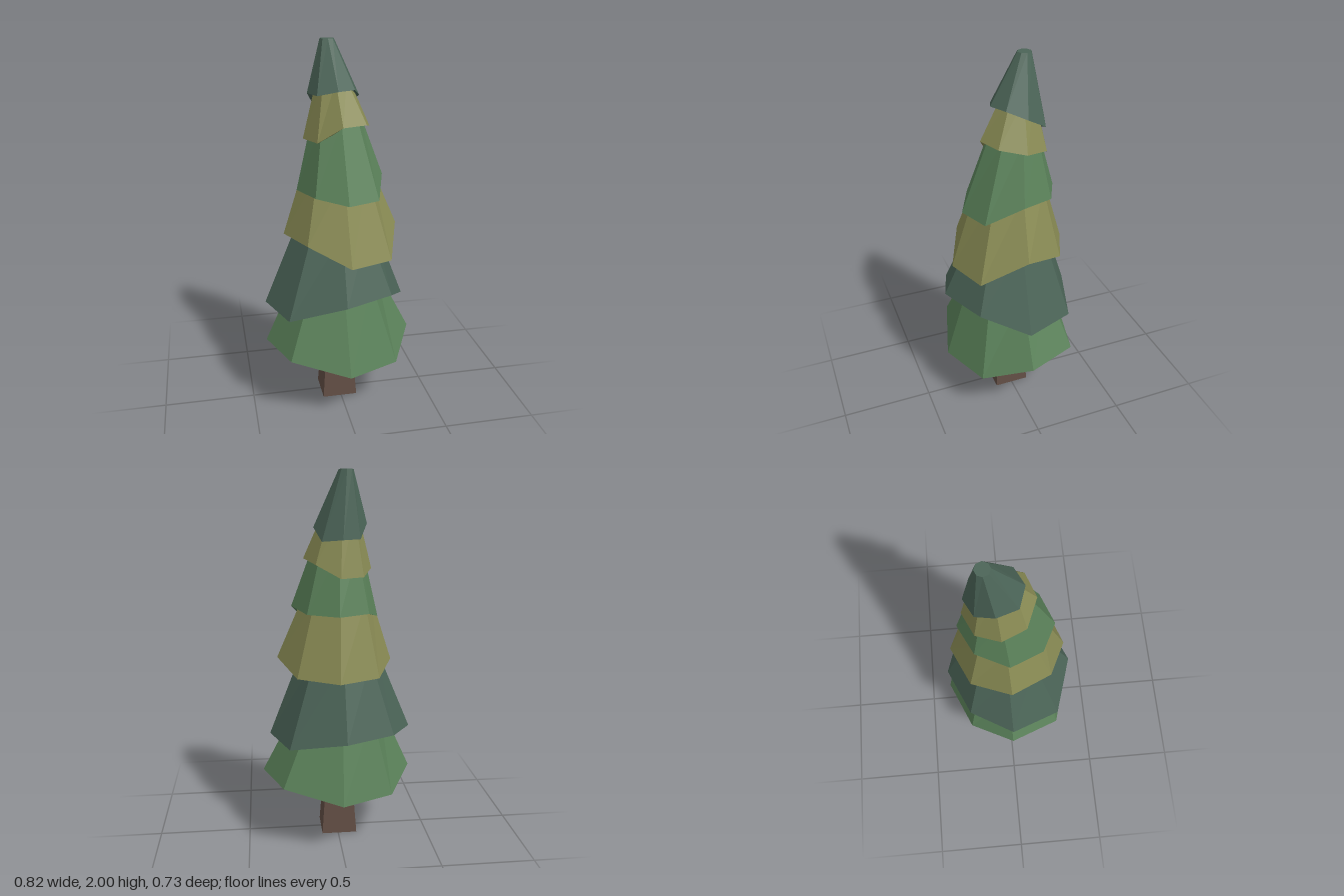
import * as THREE from 'three';

const flat = (name, color) => {
  const m = new THREE.MeshStandardMaterial({ color, flatShading: true });
  m.name = name;
  return m;
};

// Regular ring of n points around (cx, cz) at height y
function ring(n, r, [cx, cz], y, turn = 0) {
  return Array.from({ length: n }, (_, k) => {
    const a = turn + (k / n) * Math.PI * 2;
    return new THREE.Vector3(cx + r * Math.cos(a), y, cz + r * Math.sin(a));
  });
}

// Faceted skin through a list of rings
function loft(rings) {
  const pos = [];
  const tri = (a, b, c) => {
    const area = b.clone().sub(a).cross(c.clone().sub(a)).length();
    if (area > 1e-7) for (const p of [a, b, c]) pos.push(p.x, p.y, p.z);
  };
  for (let i = 0; i + 1 < rings.length; i++) {
    const lo = rings[i], hi = rings[i + 1], n = lo.length;
    for (let k = 0; k < n; k++) {
      const j = (k + 1) % n;
      tri(lo[k], hi[k], lo[j]);
      tri(lo[j], hi[k], hi[j]);
    }
  }
  const g = new THREE.BufferGeometry();
  g.setAttribute('position', new THREE.Float32BufferAttribute(pos, 3));
  g.computeVertexNormals();
  return g;
}

// Corner reach of the four diagonal rim points, as a share of the half widths
const WIDE = [0.68, 0.75, 0.67, 0.75];
const ROUND = [0.74, 0.69, 0.69, 0.69];

// Eight-sided rim: neighbouring corners share a height, giving a ragged hem.
// The +x corner and its back neighbour may be raised and lowered by lift.
function raggedRim({ center, half, corners, heights, lift = 0 }, scale) {
  return Array.from({ length: 8 }, (_, k) => {
    const a = (k * Math.PI) / 4;
    const reach = scale * (k % 2 ? corners[(k - 1) / 2] * Math.SQRT2 : 1);
    const tip = k === 0 ? lift : k === 7 ? -lift : 0;
    return new THREE.Vector3(
      center[0] + half[0] * reach * Math.cos(a),
      heights[Math.floor((k + 1) / 2) % 4] + tip,
      center[1] + half[1] * reach * Math.sin(a));
  });
}

// Hollow skirt of branches: closed top, sloping outside, thick hem, inner wall
function tierGeometry(tier) {
  const { top, topRadius, topY } = tier;
  return loft([
    ring(8, 0, top, topY - 0.06),
    ring(8, topRadius * 0.7, top, topY - 0.06),
    raggedRim(tier, 0.73),
    raggedRim(tier, 1),
    ring(8, topRadius, top, topY),
    ring(8, 0, top, topY),
  ]);
}

export function createModel() {
  const green = flat('leaf green', 0x5a8159);
  const olive = flat('olive green', 0x898b54);
  const slate = flat('slate green', 0x4b6457);
  const bark = flat('bark brown', 0x624e44);

  const tree = new THREE.Group();
  tree.name = 'pineTree';
  const add = (name, geometry, material) => {
    const mesh = new THREE.Mesh(geometry, material);
    mesh.name = name;
    tree.add(mesh);
  };

  // Four-sided tapering trunk
  const base = [-0.007, 0], turn = Math.PI / 4;
  add('trunk', loft([
    ring(4, 0, base, 0, turn),
    ring(4, 0.137, base, 0, turn),
    ring(4, 0.064, base, 0.7, turn),
    ring(4, 0, base, 0.7, turn),
  ]), bark);

  // Branch tiers from the ground up, leaning back towards the tip
  add('bottomTier', tierGeometry({
    center: [0, 0], half: [0.412, 0.367], corners: WIDE,
    heights: [0.37, 0.28, 0.363, 0.295],
    top: [-0.01, -0.01], topRadius: 0.23, topY: 0.74,
  }), green);
  add('secondTier', tierGeometry({
    center: [-0.02, 0], half: [0.39, 0.357], corners: WIDE,
    heights: [0.585, 0.69, 0.6, 0.635],
    top: [-0.015, -0.015], topRadius: 0.21, topY: 1.04,
  }), slate);
  add('thirdTier', tierGeometry({
    center: [0.012, 0], half: [0.31, 0.317], corners: ROUND,
    heights: [0.988, 0.89, 0.995, 0.947], lift: 0.032,
    top: [0, -0.02], topRadius: 0.185, topY: 1.34,
  }), olive);
  add('fourthTier', tierGeometry({
    center: [0.01, -0.005], half: [0.232, 0.255], corners: ROUND,
    heights: [1.292, 1.207, 1.235, 1.282], lift: 0.008,
    top: [0, -0.04], topRadius: 0.13, topY: 1.61,
  }), green);
  add('fifthTier', tierGeometry({
    center: [0, -0.043], half: [0.178, 0.183], corners: ROUND,
    heights: [1.545, 1.585, 1.5, 1.47], lift: 0.01,
    top: [-0.015, -0.065], topRadius: 0.085, topY: 1.8,
  }), olive);
  add('topTier', tierGeometry({
    center: [-0.012, -0.065], half: [0.138, 0.145], corners: WIDE,
    heights: [1.682, 1.755, 1.732, 1.66], lift: 0.032,
    top: [-0.037, -0.107], topRadius: 0.037, topY: 2,
  }), slate);

  return tree;
}
